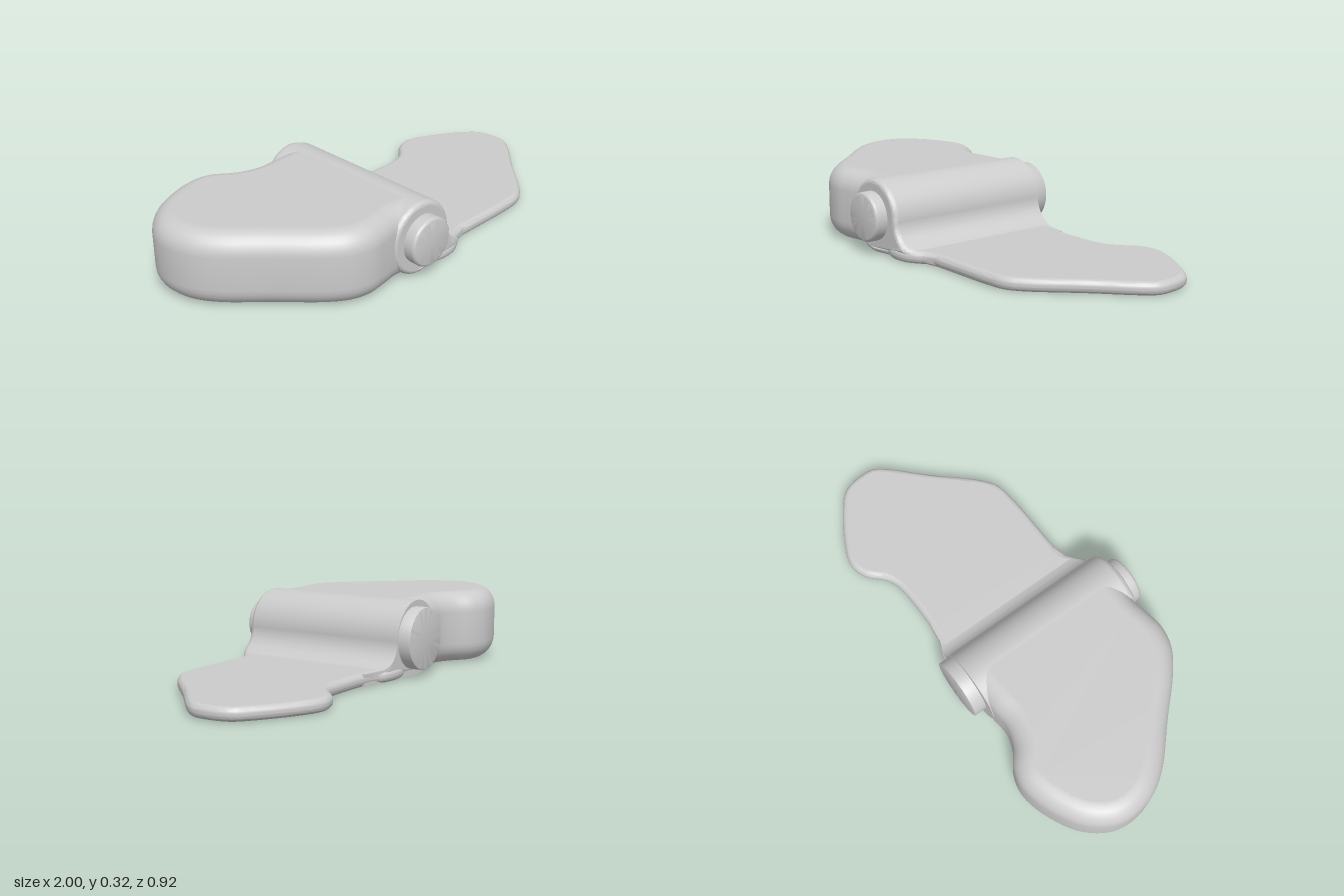
import * as THREE from 'three';
import { toCreasedNormals } from 'three/addons/utils/BufferGeometryUtils.js';

const material = new THREE.MeshStandardMaterial({ color: 0xcccccc });

// Extrusion along z from 0 to depth, with edges rounded inwards
function roundedExtrude(shape, depth, radius, thickness, curveSegments = 16) {
  const geo = new THREE.ExtrudeGeometry(shape, {
    depth: depth - 2 * thickness, curveSegments, bevelEnabled: true,
    bevelSize: radius, bevelThickness: thickness, bevelOffset: -radius, bevelSegments: 7,
  });
  return geo.translate(0, 0, thickness);
}

// Smooth normals, with the flat end caps kept truly flat
function smooth(geo) {
  const out = toCreasedNormals(geo, 0.65);
  const p = out.attributes.position, n = out.attributes.normal;
  for (let i = 0; i < p.count; i += 3) {
    const a = p.getZ(i);
    if (Math.abs(p.getZ(i + 1) - a) + Math.abs(p.getZ(i + 2) - a) > 1e-5) continue;
    const sign = Math.sign(n.getZ(i));
    for (let k = 0; k < 3; k++) n.setXYZ(i + k, 0, 0, sign);
  }
  return out;
}

// Slab lying on the ground from a smooth plan outline of [x, z] points
function slab(name, outline, height, radius, thickness) {
  const curve = new THREE.CatmullRomCurve3(
    outline.map(([x, z]) => new THREE.Vector3(x, -z, 0)), true, 'centripetal');
  const pts = curve.getPoints(150).slice(0, -1).map(v => new THREE.Vector2(v.x, v.y));
  const geo = smooth(roundedExtrude(new THREE.Shape(pts), height, radius, thickness));
  const mesh = new THREE.Mesh(geo.rotateX(-Math.PI / 2), material);
  mesh.name = name;
  return mesh;
}

// Hinge barrel with a concave fillet running down to the thin plate
function hingeBarrel() {
  const s = new THREE.Shape();
  s.moveTo(-0.16, 0.001);
  s.lineTo(0.2, 0.001);
  s.lineTo(0.2, 0.053);
  s.lineTo(0.11, 0.053);
  s.absarc(0.11, 0.163, 0.11, -Math.PI / 2, -Math.PI, true);
  s.absarc(-0.16, 0.161, 0.16, 0, Math.PI * 1.5, false);
  const geo = roundedExtrude(s, 0.825, 0.02, 0.025, 32).translate(0, 0, -0.42);
  // Square off the back end and draw both ends in along the foot
  const p = geo.attributes.position;
  for (let i = 0; i < p.count; i++) {
    const t = THREE.MathUtils.smoothstep(p.getX(i), 0.03, 0.16);
    const z = p.getZ(i);
    p.setZ(i, z > 0 ? z - 0.075 * t : Math.max(z, -0.37) + 0.035 * t);
  }
  const mesh = new THREE.Mesh(smooth(geo), material);
  mesh.name = 'hingeBarrel';
  return mesh;
}

// Round pin end with a small rounded rim; dir is +1 for front, -1 for back
function pin(name, x, y, r, z0, z1, rim) {
  const len = Math.abs(z1 - z0), pts = [new THREE.Vector2(r, 0)];
  for (let i = 0; i <= 5; i++) {
    const a = (i / 5) * Math.PI / 2;
    pts.push(new THREE.Vector2(r - rim + rim * Math.cos(a), len - rim + rim * Math.sin(a)));
  }
  pts.push(new THREE.Vector2(0, len));
  const geo = toCreasedNormals(new THREE.LatheGeometry(pts, 48), 0.5);
  geo.rotateX(z1 > z0 ? Math.PI / 2 : -Math.PI / 2);
  const mesh = new THREE.Mesh(geo, material);
  mesh.position.set(x, y, z0);
  mesh.name = name;
  return mesh;
}

export function createModel() {
  const model = new THREE.Group();
  model.name = 'hingedClip';

  // Thick wing
  model.add(slab('thickBody', [
    [-0.16, 0.395], [-0.28, 0.395], [-0.36, 0.41], [-0.44, 0.42], [-0.53, 0.40],
    [-0.62, 0.34], [-0.77, 0.19], [-0.92, 0.04], [-0.98, -0.06], [-1, -0.17],
    [-0.98, -0.26], [-0.90, -0.36], [-0.76, -0.435], [-0.64, -0.46], [-0.56, -0.44],
    [-0.48, -0.385], [-0.40, -0.36], [-0.30, -0.367], [-0.16, -0.367],
    [-0.09, -0.32], [-0.075, -0.2], [-0.075, 0.2], [-0.09, 0.35],
  ], 0.32, 0.085, 0.09));

  // Thin wing
  model.add(slab('thinPlate', [
    [-0.10, 0.36], [-0.05, 0.40], [0.04, 0.40], [0.09, 0.375], [0.14, 0.338], [0.22, 0.332],
    [0.48, 0.323], [0.58, 0.308], [0.65, 0.262], [0.81, 0.09], [0.98, -0.085],
    [1, -0.13], [0.997, -0.22], [0.975, -0.28], [0.92, -0.33], [0.74, -0.435],
    [0.65, -0.46], [0.57, -0.435], [0.50, -0.37], [0.43, -0.343], [0.16, -0.338],
    [0.11, -0.348], [0.07, -0.368], [-0.05, -0.368], [-0.10, -0.33],
  ], 0.055, 0.025, 0.025));

  model.add(hingeBarrel());
  model.add(pin('frontPin', -0.16, 0.163, 0.106, 0.38, 0.46, 0.014));
  model.add(pin('backPin', -0.137, 0.163, 0.133, -0.34, -0.425, 0.003));
  return model;
}
